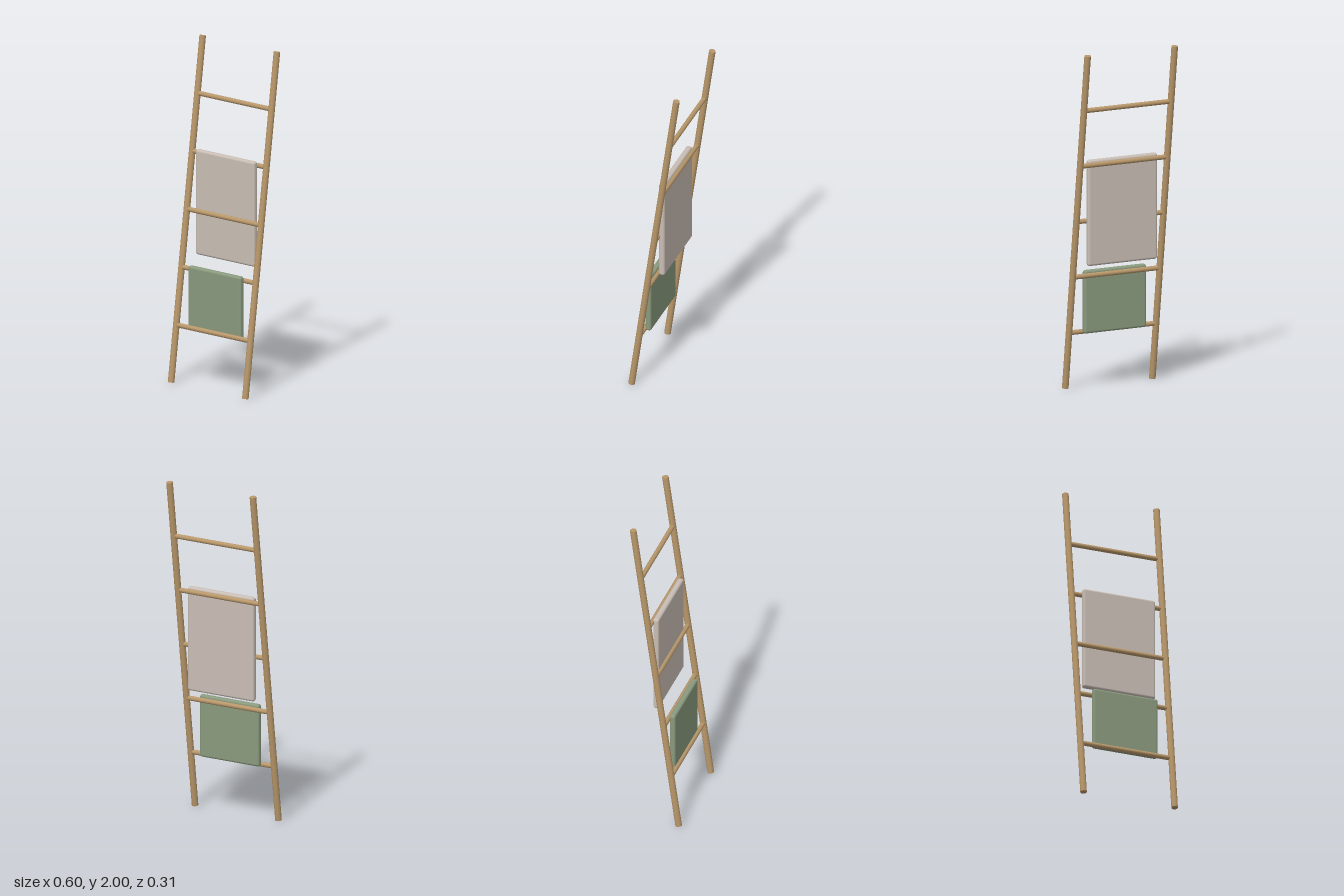
import * as THREE from 'three';
import { RoundedBoxGeometry } from 'three/addons/geometries/RoundedBoxGeometry.js';

const material = (name, color) => {
  const m = new THREE.MeshStandardMaterial({ color });
  m.name = name;
  return m;
};

export function createModel() {
  const wood = material('wood', 0xb8976a);
  const beige = material('beige cloth', 0xc9beb5);
  const green = material('sage cloth', 0x8a9a7e);

  const model = new THREE.Group();
  model.name = 'blanketLadder';
  const add = (parent, name, geometry, mat, x, y, z) => {
    const mesh = new THREE.Mesh(geometry, mat);
    mesh.name = name;
    mesh.position.set(x, y, z);
    parent.add(mesh);
    return mesh;
  };

  // Leaning frame, pivoted at its middle
  const frame = new THREE.Group();
  frame.name = 'ladderFrame';
  frame.position.y = 1;
  frame.rotation.x = -0.137;
  model.add(frame);

  // Side rails
  const rail = new THREE.CylinderGeometry(0.019, 0.019, 2.0137, 24);
  for (const side of [-1, 1]) {
    add(frame, side > 0 ? 'leftRail' : 'rightRail', rail, wood, side * 0.281, 0, 0);
  }

  // Five evenly spaced rungs
  const rung = new THREE.CylinderGeometry(0.014, 0.014, 0.56, 20).rotateZ(Math.PI / 2);
  for (let i = -2; i <= 2; i++) {
    add(frame, `rung${i + 3}`, rung, wood, 0, i * 0.3365, 0);
  }

  // Upright hanging cloths with soft edges
  add(model, 'upperBlanket', new RoundedBoxGeometry(0.446, 0.62, 0.036, 4, 0.014), beige, 0, 1.05, -0.022);
  add(model, 'lowerTowel', new RoundedBoxGeometry(0.4, 0.37, 0.036, 4, 0.014), green, 0, 0.51, 0.07);

  return model;
}
